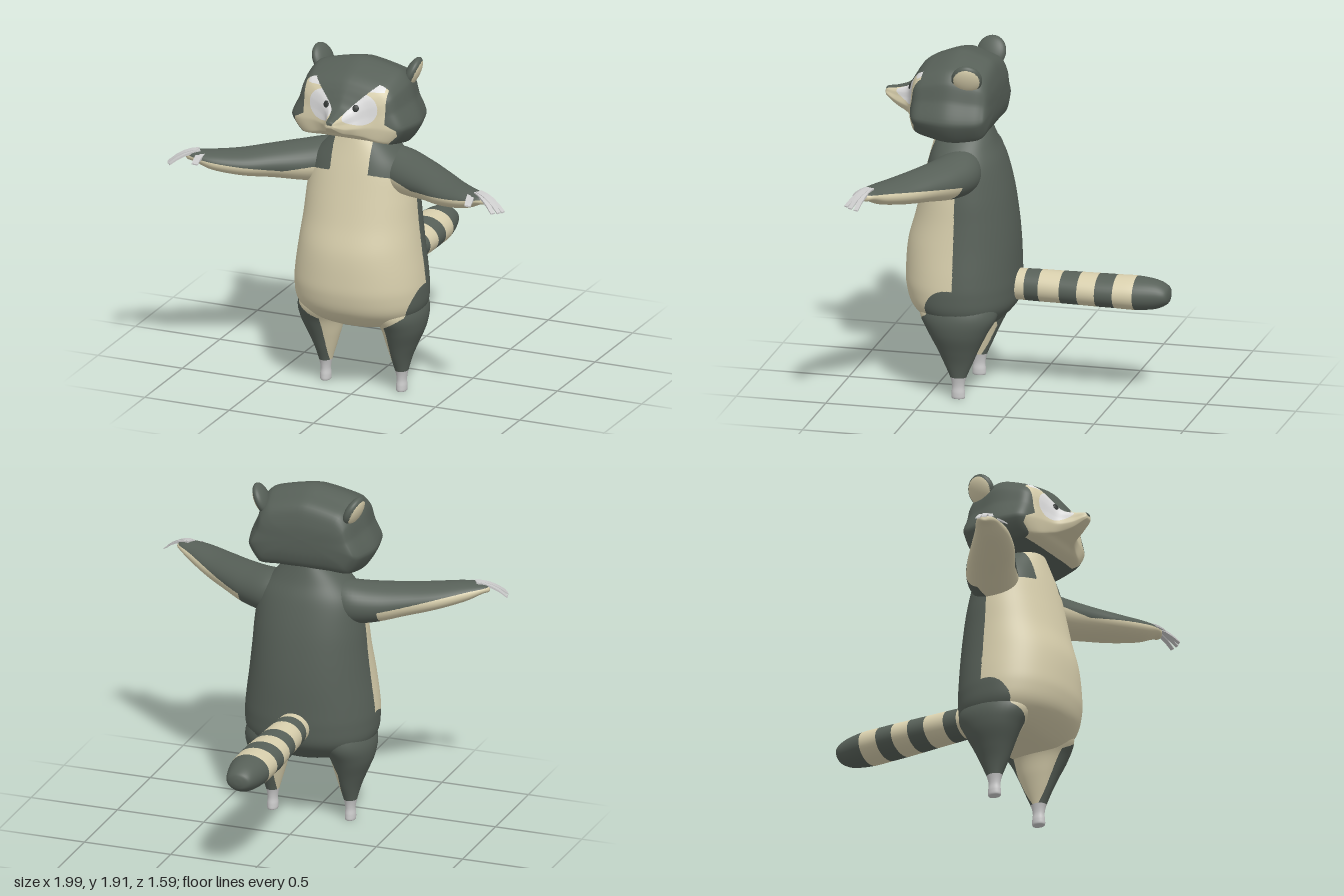
import * as THREE from 'three';

const mat = (name, color) => Object.assign(new THREE.MeshStandardMaterial({ color }), { name });

// Uniform Catmull-Rom through rows of numbers, `sub` steps between rows
function smoothRows(rows, sub) {
  const out = [];
  const at = (i) => rows[Math.min(Math.max(i, 0), rows.length - 1)];
  for (let i = 0; i < rows.length - 1; i++) {
    for (let k = 0; k < sub; k++) {
      const t = k / sub;
      out.push(rows[i].map((p1, c) => {
        const p0 = at(i - 1)[c], p2 = at(i + 1)[c], p3 = at(i + 2)[c];
        return p1 + 0.5 * t * (p2 - p0 + t * (2 * p0 - 5 * p1 + 4 * p2 - p3 + t * (3 * (p1 - p2) + p3 - p0)));
      }));
    }
  }
  out.push(rows[rows.length - 1]);
  return out;
}

// Skin a closed outline along smoothed rows; place(row, a, b) returns a point
function loft(rows, sub, outline, place) {
  const rings = smoothRows(rows, sub), n = outline.length, pos = [], idx = [];
  rings.forEach((r, i) => outline.forEach(([a, b], j) => {
    pos.push(...place(r, a, b));
    if (i === rings.length - 1) return;
    const k = (j + 1) % n, p = i * n + j, q = i * n + k;
    idx.push(p, q, q + n, p, q + n, p + n);
  }));
  const g = new THREE.BufferGeometry();
  g.setAttribute('position', new THREE.Float32BufferAttribute(pos, 3));
  g.setIndex(idx);
  g.computeVertexNormals();
  return g;
}

// Sort triangles into material groups by a rule, splitting those on a colour border
function paint(g, count, rule, depth = 3) {
  const pos = Array.from(g.attributes.position.array), nor = Array.from(g.attributes.normal.array);
  const ix = g.index.array, sets = Array.from({ length: count }, () => []);
  const colour = (...v) => rule(...[0, 1, 2].map((c) => v.reduce((s, i) => s + pos[i * 3 + c], 0) / v.length));
  const middle = (a, b) => {
    for (const list of [pos, nor]) for (let c = 0; c < 3; c++) list.push((list[a * 3 + c] + list[b * 3 + c]) / 2);
    return pos.length / 3 - 1;
  };
  const sort = (a, b, c, level) => {
    const k = colour(a);
    if (level === 0 || (k === colour(b) && k === colour(c))) return sets[colour(a, b, c)].push(a, b, c);
    const ab = middle(a, b), bc = middle(b, c), ca = middle(c, a);
    [[a, ab, ca], [ab, b, bc], [ca, bc, c], [ab, bc, ca]].forEach((t) => sort(...t, level - 1));
  };
  for (let i = 0; i < ix.length; i += 3) sort(ix[i], ix[i + 1], ix[i + 2], depth);
  const out = new THREE.BufferGeometry();
  out.setAttribute('position', new THREE.Float32BufferAttribute(pos, 3));
  out.setAttribute('normal', new THREE.Float32BufferAttribute(nor, 3));
  out.setIndex(sets.flat());
  let start = 0;
  sets.forEach((s, m) => { out.addGroup(start, s.length, m); start += s.length; });
  return out;
}

// Copy on the other side of x = 0, keeping faces outward
function mirrored(g) {
  const m = g.clone().scale(-1, 1, 1), ix = m.index.array;
  for (let i = 0; i < ix.length; i += 3) [ix[i], ix[i + 1]] = [ix[i + 1], ix[i]];
  return m;
}

function oval(n, power = 2) {
  const f = (v) => Math.sign(v) * Math.abs(v) ** (2 / power);
  return Array.from({ length: n }, (_, i) => {
    const t = (i / n) * Math.PI * 2;
    return [f(Math.cos(t)), f(Math.sin(t))];
  });
}

// Colour borders shared by torso and limbs
const bellyHalf = (y) => (y > 0.65 ? 1 : y > 0.48 ? 0.31 + (y - 0.48) * 0.36 : 0.18 + (y - 0.4) * 1.62);
const onBelly = (x, y, z) => z > 0.33 && Math.abs(x) < bellyHalf(y);
const sleeveEdge = (x) => (x < 0.38 ? 1.29 - 0.16 * (x - 0.11) : 1.247 + 0.15 * (x - 0.38));

export function createModel() {
  const model = new THREE.Group();
  model.name = 'raccoon';
  const dark = mat('dark fur', 0x576058), cream = mat('cream fur', 0xd7ceac);
  const white = mat('white face fur', 0xdedede), grey = mat('grey claws', 0xcbcbcb);
  const black = mat('dark eyes', 0x343836);
  const add = (name, g, m) => {
    const mesh = new THREE.Mesh(g, m);
    mesh.name = name;
    model.add(mesh);
    return mesh;
  };
  const pair = (name, g, m) => {
    add('left ' + name, g, m);
    add('right ' + name, mirrored(g), m);
  };

  // Torso: height, half width, back z, front z
  const torso = loft([
    [0.375, 0, 0.33, 0.33], [0.385, 0.14, 0.19, 0.46], [0.42, 0.29, 0.13, 0.54], [0.5, 0.358, 0.06, 0.625],
    [0.6, 0.37, 0.045, 0.658], [0.7, 0.363, 0.045, 0.662], [0.85, 0.343, 0.05, 0.65], [1.0, 0.325, 0.065, 0.61],
    [1.15, 0.311, 0.09, 0.575], [1.3, 0.285, 0.13, 0.54], [1.4, 0.21, 0.17, 0.515], [1.5, 0.11, 0.2, 0.49],
  ], 6, oval(72, 2.2), ([y, w, b, f], a, c) => [w * c, y, (b + f) / 2 + ((f - b) / 2) * a]);
  add('torso', paint(torso, 2, (x, y, z) => {
    const ax = Math.abs(x);
    if (y < 0.42 && ax < 0.17 && z > 0.22) return 1;
    if (ax > 0.112 && y > sleeveEdge(ax)) return 0;
    return onBelly(x, y, z) ? 1 : 0;
  }), [dark, cream]);

  // Legs and feet: height, centre x, half width, half depth
  const leg = loft([
    [0, 0.225, 0, 0], [0, 0.225, 0.026, 0.034], [0.03, 0.225, 0.03, 0.037], [0.07, 0.225, 0.027, 0.034],
    [0.12, 0.225, 0.036, 0.045], [0.2, 0.225, 0.058, 0.08], [0.28, 0.23, 0.085, 0.115],
    [0.38, 0.237, 0.118, 0.165], [0.48, 0.215, 0.148, 0.215], [0.6, 0.19, 0.13, 0.2],
  ], 6, oval(40), ([y, cx, w, d], a, c) => [cx + w * c, Math.max(y, 0), 0.33 + d * a]);
  pair('leg', paint(leg, 3, (x, y, z) => {
    if (y < 0.12) return 2;
    return (x < 0.192 && z > 0.22) || (y > 0.4 && onBelly(x, y, z)) ? 1 : 0;
  }), [dark, cream, grey]);

  // Arms: centre x y z, half width, half height
  const arm = loft([
    [0.08, 1.28, 0.3, 0.1, 0.11], [0.2, 1.275, 0.32, 0.135, 0.122], [0.34, 1.267, 0.385, 0.14, 0.109],
    [0.48, 1.27, 0.47, 0.13, 0.088], [0.62, 1.273, 0.565, 0.118, 0.07], [0.76, 1.29, 0.645, 0.09, 0.052],
    [0.85, 1.31, 0.675, 0.06, 0.03], [0.89, 1.31, 0.685, 0.03, 0.02], [0.895, 1.31, 0.685, 0, 0],
  ], 6, oval(40), ([x, y, z, w, h], a, b) => [x + 0.483 * w * a, y + h * b, z - 0.876 * w * a]);
  pair('arm', paint(arm, 2, (x, y, z) => (y > sleeveEdge(x) || (z < 0.33 && x < 0.4) ? 0 : 1)), [dark, cream]);

  // Claws: base x y z, turn around y, length, drop at the tip, width
  const claws = [[0.83, 1.34, 0.66, 15, 0.168, 0.075, 0.034], [0.83, 1.34, 0.668, 25, 0.168, 0.07, 0.034],
    [0.82, 1.338, 0.67, 35, 0.17, 0.065, 0.034], [0.8, 1.328, 0.685, 84, 0.082, 0.035, 0.048]];
  claws.forEach(([x, y, z, yaw, len, drop, width], i) => {
    const g = new THREE.BoxGeometry(len, 0.018, width, 4, 1, 1).translate(len / 2, 0, 0);
    const p = g.attributes.position;
    for (let k = 0; k < p.count; k++) {
      const t = p.getX(k) / len;
      p.setXYZ(k, p.getX(k), p.getY(k) * (1 - 0.6 * t) - drop * t * t, p.getZ(k) * (1 - 0.25 * t));
    }
    g.computeVertexNormals();
    pair('claw ' + (i + 1), g.rotateY(-yaw * Math.PI / 180).translate(x, y, z), grey);
  });

  // Tail: z, half width, half height, with rows on the stripe edges
  const tail = loft([
    [0.1, 0.09, 0.085], [0, 0.095, 0.086], [-0.08, 0.1, 0.087], [-0.2, 0.108, 0.087], [-0.3, 0.114, 0.088],
    [-0.4, 0.119, 0.089], [-0.5, 0.118, 0.09], [-0.61, 0.113, 0.092], [-0.72, 0.09, 0.08],
    [-0.78, 0.068, 0.052], [-0.797, 0.03, 0.025], [-0.8, 0, 0],
  ], 5, oval(36), ([z, w, h], a, b) => [w * b, 0.603 + h * a, z]);
  const edges = [0, -0.08, -0.2, -0.3, -0.4, -0.5, -0.61];
  add('striped tail', paint(tail, 2, (x, y, z) => (edges.filter((e) => z < e).length + 1) % 2, 0), [dark, cream]);

  // Head outline: wide cheeks, flat chin, peaked crown
  const half = [[0.45, 0], [0.8, 0], [1, 0.26], [0.87, 0.53], [0.8, 0.74], [0.63, 0.89]];
  const loop = [[0, 0], ...half, [0, 1], ...half.map(([x, y]) => [-x, y]).reverse()];
  const curve = new THREE.CatmullRomCurve3(loop.map(([x, y]) => new THREE.Vector3(x, y, 0)), true, 'catmullrom', 0.3);
  const outline = Array.from({ length: 84 }, (_, i) => curve.getPoint(i / 84).toArray());

  // Head and muzzle: z, half width, bottom, top
  const headShape = loft([
    [0.155, 0, 1.66, 1.66], [0.162, 0.25, 1.56, 1.75], [0.195, 0.31, 1.49, 1.845], [0.28, 0.34, 1.468, 1.885],
    [0.38, 0.36, 1.465, 1.91], [0.5, 0.342, 1.485, 1.872], [0.56, 0.32, 1.5, 1.838], [0.592, 0.265, 1.515, 1.8],
    [0.62, 0.165, 1.54, 1.755], [0.655, 0.1, 1.555, 1.705], [0.72, 0.06, 1.58, 1.68], [0.775, 0.035, 1.615, 1.67],
    [0.79, 0.02, 1.63, 1.66], [0.79, 0, 1.645, 1.645],
  ], 6, outline, ([z, w, lo, hi], a, b) => [w * a, lo + (hi - lo) * b, z]);
  const head = add('head', paint(headShape, 3, (x, y, z) => {
    const ax = Math.abs(x), brow = 0.012 + 0.158 * (Math.max(y - 1.64, 0) / 0.17) ** 1.3;
    const outer = y > 1.62 ? 0.24 : y > 1.55 ? Math.min(0.3, 0.24 + (1.62 - y) * 1.7) : 0.3 - (1.55 - y);
    if (z < 0.535 || y > 1.825 || ax > outer) return 0;
    if (y > 1.645 && ax < brow) return 0;
    const patch = Math.hypot(ax - 0.118, y - 1.695) < 0.082;
    return patch || (y > 1.79 && ax < 0.225) ? 2 : 1;
  }), [dark, cream, white]);

  // Eyes: small flat domes laid on the face
  const ray = new THREE.Raycaster(new THREE.Vector3(0.087, 1.705, 2), new THREE.Vector3(0, 0, -1));
  const hit = ray.intersectObject(head)[0];
  const turn = new THREE.Quaternion().setFromUnitVectors(new THREE.Vector3(0, 0, 1), hit.face.normal);
  const eye = new THREE.SphereGeometry(1, 16, 10).scale(0.018, 0.02, 0.006);
  eye.applyQuaternion(turn).translate(hit.point.x, hit.point.y, hit.point.z);
  pair('eye', eye, black);

  // Ears: flattened cups, cream on the outward side
  const ear = paint(new THREE.SphereGeometry(1, 32, 24), 2, (x) => (x > 0.5 ? 1 : 0), 1);
  ear.scale(0.038, 0.09, 0.084).rotateZ(-0.42).rotateY(0.15).translate(0.266, 1.822, 0.272);
  pair('ear', ear, [dark, cream]);

  return model;
}
